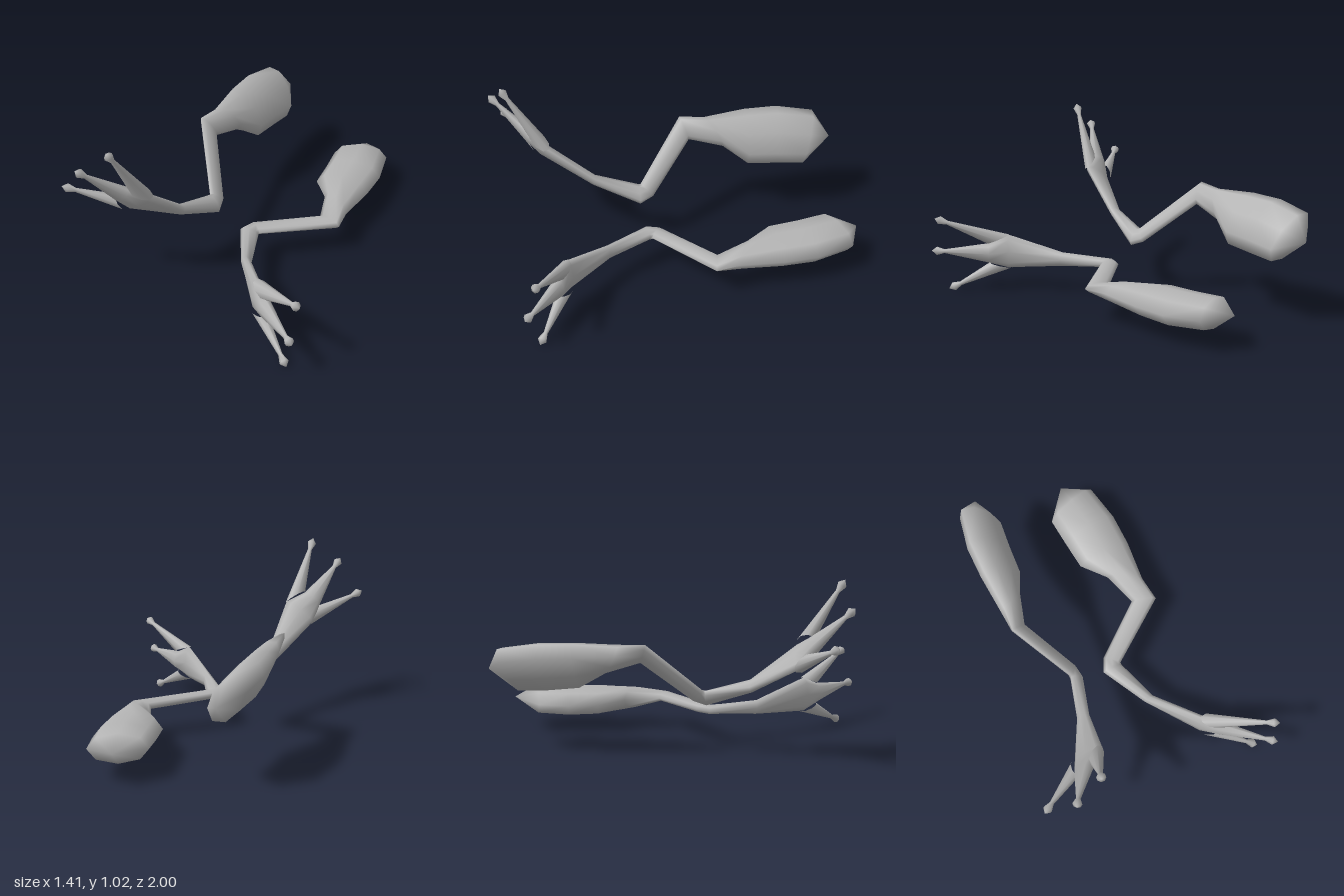
import * as THREE from 'three';
import { mergeVertices } from 'three/addons/utils/BufferGeometryUtils.js';

const SIDES = 8;
const vec = (x, y, z) => new THREE.Vector3(x, y, z);

// Elliptical ring: centre c, half-width vector w, half-height vector v
function ring(c, w, v) {
  return Array.from({ length: SIDES }, (_, i) => {
    const t = (i / SIDES) * Math.PI * 2;
    return c.clone().addScaledVector(w, Math.cos(t)).addScaledVector(v, Math.sin(t));
  });
}

// Ring spanning two side points (x, z) between a bottom and a top height
function limbRing([px, pz, qx, qz, bottom, top]) {
  return ring(
    vec((px + qx) / 2, (bottom + top) / 2, (pz + qz) / 2),
    vec((qx - px) / 2, 0, (qz - pz) / 2),
    vec(0, (top - bottom) / 2, 0)
  );
}

// Smooth skin over a row of rings; place maps points, flip reverses the faces
function loft(rings, place, flip) {
  const pos = [], index = [];
  rings.forEach((r) => r.forEach((p) => pos.push(...place(p))));
  for (let k = 0; k < rings.length - 1; k++) {
    for (let i = 0; i < SIDES; i++) {
      const a = k * SIDES + i, b = k * SIDES + ((i + 1) % SIDES);
      const c = a + SIDES, d = b + SIDES;
      if (flip) index.push(a, c, b, b, c, d);
      else index.push(a, b, c, b, d, c);
    }
  }
  const g = new THREE.BufferGeometry();
  g.setAttribute('position', new THREE.Float32BufferAttribute(pos, 3));
  g.setIndex(index);
  const merged = mergeVertices(g, 1e-5);
  merged.computeVertexNormals();
  return merged;
}

// Thin neck, flared pad and point at the end of a toe
const across = vec(0.74, 0, -0.67);
function toeEnd(base, tip) {
  const dir = tip.clone().sub(base).normalize();
  const w = across.clone().addScaledVector(dir, -across.dot(dir)).normalize();
  const v = dir.clone().cross(w);
  return [[0.075, 0.012], [0.03, 0.026], [0, 0]].map(([back, r]) =>
    ring(tip.clone().addScaledVector(dir, -back), w.clone().multiplyScalar(r), v.clone().multiplyScalar(r)));
}

// Outer toe growing from the slanted palm edge between two points
function sideToe(upper, lower, tip) {
  const c = upper.clone().add(lower).multiplyScalar(0.5);
  const v = upper.clone().sub(lower).multiplyScalar(0.5);
  return [ring(c, across.clone().multiplyScalar(0.04), v), ...toeEnd(c, tip)];
}

// Hip to palm: inner x, z, outer x, z, bottom, top
const LIMB = [
  [0.22, -1.0, 0.22, -1.0, 0.185, 0.185],    // hip point
  [0.08, -0.82, 0.39, -0.92, 0.09, 0.255],
  [0.1, -0.65, 0.44, -0.7, 0.075, 0.255],    // thigh
  [0.12, -0.48, 0.445, -0.5, 0.085, 0.255],
  [0.24, -0.34, 0.425, -0.25, 0.115, 0.242],
  [0.305, -0.14, 0.445, -0.1, 0.155, 0.207], // knee
  [0.0, 0.12, 0.08, 0.185, 0.172, 0.222],    // ankle
  [-0.035, 0.2, 0.08, 0.197, 0.17, 0.22],
  [0.11, 0.46, 0.168, 0.445, 0.148, 0.23],   // heel of the foot
  [0.325, 0.745, 0.365, 0.69, 0.125, 0.327], // palm
  [0.415, 0.82, 0.46, 0.755, 0.157, 0.275],  // between the toes
];

function buildLeg(name, material, place, flip) {
  const leg = new THREE.Group();
  leg.name = name;
  const parts = {
    limbAndMiddleToe: [...LIMB.map(limbRing), ...toeEnd(vec(0.437, 0.215, 0.787), vec(0.695, 0.235, 1.0))],
    upperToe: sideToe(vec(0.34, 0.327, 0.705), vec(0.445, 0.275, 0.787), vec(0.705, 0.44, 0.945)),
    lowerToe: sideToe(vec(0.43, 0.157, 0.787), vec(0.325, 0.125, 0.7), vec(0.63, 0.005, 0.925)),
  };
  for (const [part, rings] of Object.entries(parts)) {
    const mesh = new THREE.Mesh(loft(rings, place, flip), material);
    mesh.name = part;
    leg.add(mesh);
  }
  return leg;
}

export function createModel() {
  const skin = new THREE.MeshStandardMaterial({ color: 0xb4b4b4 });
  skin.name = 'greySkin';
  const model = new THREE.Group();
  model.name = 'webbedLegs';

  model.add(buildLeg('leftLeg', skin, (p) => [p.x, p.y, p.z], false));

  // Right leg: mirrored, then swung upward about the ankle
  const a = THREE.MathUtils.degToRad(-55.5), cos = Math.cos(a), sin = Math.sin(a);
  const swing = (p) => {
    const dx = -(p.x + 0.033), dy = p.y - 0.195;
    return [dx * cos - dy * sin - 0.175, dx * sin + dy * cos + 0.27, p.z];
  };
  model.add(buildLeg('rightLeg', skin, swing, true));
  return model;
}
